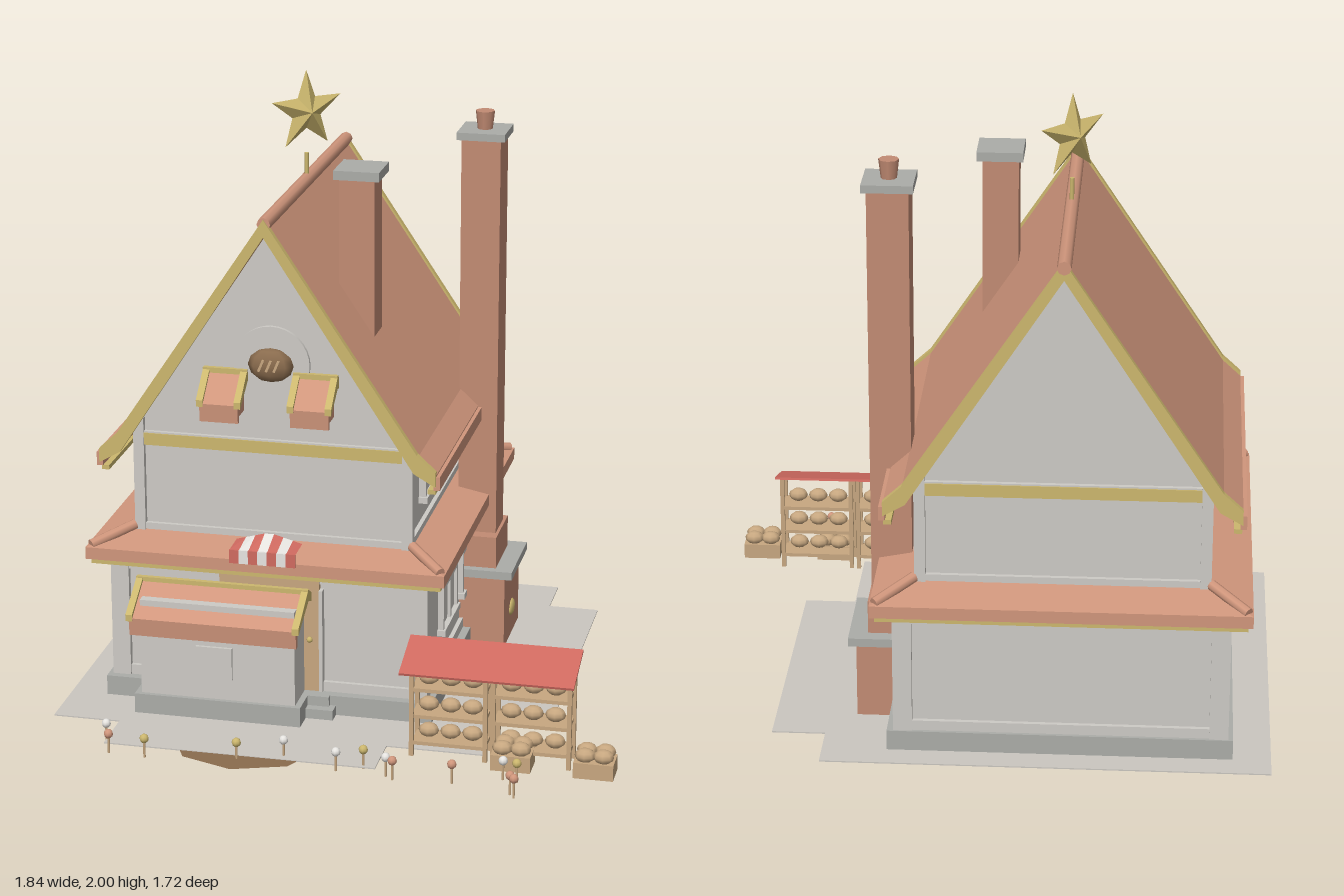
import * as THREE from 'three';

const CX = -0.26, CZ = -0.205; // middle of the house

export function createModel() {
  const root = new THREE.Group();
  root.name = 'bakeryHouse';
  const mat = (name, color) => {
    const m = new THREE.MeshStandardMaterial({ color, side: THREE.DoubleSide });
    m.name = name;
    return m;
  };
  const wall = mat('plaster', 0xcdcac5), stone = mat('stone', 0xabaca8), tile = mat('terracotta', 0xd0967c),
    brick = mat('brick', 0xc28b73), gold = mat('gold', 0xccb76e), red = mat('red', 0xd06a60),
    white = mat('white', 0xeeece8), tan = mat('tan', 0xc7a780), brown = mat('brown', 0x8a6c4e),
    ground = mat('paving', 0xcac6c0);

  const add = (name, geo, m, x = 0, y = 0, z = 0, parent = root) => {
    const mesh = new THREE.Mesh(geo, m);
    mesh.name = name;
    mesh.position.set(x, y, z);
    parent.add(mesh);
    return mesh;
  };
  // box given by its limits
  const box = (name, m, x0, x1, y0, y1, z0, z1, parent) =>
    add(name, new THREE.BoxGeometry(x1 - x0, y1 - y0, z1 - z0), m, (x0 + x1) / 2, (y0 + y1) / 2, (z0 + z1) / 2, parent);
  const faceted = (pos) => {
    const g = new THREE.BufferGeometry();
    g.setAttribute('position', new THREE.Float32BufferAttribute(pos, 3));
    g.computeVertexNormals();
    return g;
  };
  // shell through stacked rectangles [halfX, halfZ, y]
  const rectLoft = (rings) => {
    const pos = [];
    const corner = ([hx, hz, y], i) => [[-hx, y, hz], [hx, y, hz], [hx, y, -hz], [-hx, y, -hz]][i % 4];
    for (let r = 0; r < rings.length - 1; r++) for (let i = 0; i < 4; i++) {
      const a = corner(rings[r], i), b = corner(rings[r], i + 1);
      const c = corner(rings[r + 1], i + 1), d = corner(rings[r + 1], i);
      pos.push(...a, ...b, ...c, ...a, ...c, ...d);
    }
    return faceted(pos);
  };
  const prism = (pts, depth) => new THREE.ExtrudeGeometry(
    new THREE.Shape(pts.map(([x, y]) => new THREE.Vector2(x, y))), { depth, bevelEnabled: false });
  const ball = (r, sx, sy, sz) => new THREE.SphereGeometry(r, 8, 6).scale(sx, sy, sz);

  // paving and the shallow round patch at its front edge
  const paving = prism([[-0.92, 0.86], [-0.92, -0.58], [-0.7, -0.58], [-0.7, -0.75], [0.18, -0.75], [0.18, -0.58],
    [0.49, -0.58], [0.49, -0.26], [0.66, -0.26], [0.66, 0.68], [0.49, 0.68], [0.49, 0.86]], 0.004);
  paving.rotateX(-Math.PI / 2);
  add('paving', paving, ground, 0, 0.008, 0);
  add('roundPatch', new THREE.CylinderGeometry(0.24, 0.17, 0.008, 8).scale(1, 1, 0.84), brown, CX, 0.006, 0.65);

  // floors: wall core, corner posts and horizontal beams
  const storey = (name, hx, hz, y0, y1, postTop, w) => {
    const g = new THREE.Group();
    g.name = name;
    root.add(g);
    g.position.set(CX, 0, CZ);
    box('wallCore', wall, -hx + 0.02, hx - 0.02, y0, y1, -hz + 0.02, hz - 0.02, g);
    for (const sx of [-1, 1]) for (const sz of [-1, 1])
      add('cornerPost', new THREE.BoxGeometry(w, postTop - y0, w), wall, sx * (hx - w / 2), (postTop + y0) / 2, sz * (hz - w / 2), g);
    for (const y of [y0 + 0.018, y1 - 0.018]) for (const s of [-1, 1]) {
      add('beam', new THREE.BoxGeometry(2 * hx - 0.02, 0.036, 0.02), wall, 0, y, s * (hz - 0.016), g);
      add('beam', new THREE.BoxGeometry(0.02, 0.036, 2 * hz - 0.02), wall, s * (hx - 0.016), y, 0, g);
    }
  };
  box('foundation', stone, CX - 0.54, CX + 0.545, 0.01, 0.078, CZ - 0.57, CZ + 0.59);
  storey('groundFloor', 0.525, 0.565, 0.075, 0.485, 0.485, 0.06);
  storey('upperFloor', 0.46, 0.495, 0.55, 0.9, 0.945, 0.035);

  // skirt roof between the floors, with hip ridges
  add('skirtTrim', rectLoft([[0.48, 0.52, 0.478], [0.575, 0.61, 0.478], [0.575, 0.61, 0.5]]), gold, CX, 0, CZ);
  add('skirtRoof', rectLoft([[0.5, 0.54, 0.497], [0.59, 0.625, 0.497], [0.59, 0.625, 0.537], [0.44, 0.475, 0.567]]), tile, CX, 0, CZ);
  for (const sx of [-1, 1]) for (const sz of [-1, 1]) {
    const a = new THREE.Vector3(sx * 0.575, 0.542, sz * 0.61), b = new THREE.Vector3(sx * 0.46, 0.58, sz * 0.495);
    const hip = add('hipRidge', new THREE.CylinderGeometry(0.017, 0.017, a.distanceTo(b), 8), tile);
    hip.position.copy(a).add(b).multiplyScalar(0.5).add(new THREE.Vector3(CX, 0, CZ));
    hip.quaternion.setFromUnitVectors(new THREE.Vector3(0, 1, 0), b.sub(a).normalize());
  }

  // gables and main roof
  add('gableWalls', prism([[-0.44, 0.88], [0.44, 0.88], [0.44, 0.93], [0, 1.6], [-0.44, 0.93]], 0.95), wall, CX, 0, CZ - 0.475);
  const mirrored = (half) => [...half, ...half.slice().reverse().filter(([x]) => x !== 0).map(([x, y]) => [-x, y])];
  const chevron = (lift, t) => {
    const outer = [[0, 1.64 + lift], [0.49, 0.905 + lift], [0.55, 0.85 + lift]];
    const inner = [[0.55, 0.85 - t], [0.48, 0.89 - t], [0, 1.63 - t]];
    const right = [...outer, ...inner];
    return [...right, ...inner.slice(0, 2).reverse().map(([x, y]) => [-x, y]), ...outer.slice(1).reverse().map(([x, y]) => [-x, y])];
  };
  add('mainRoof', prism(chevron(0, 0.025), 1.13), tile, CX, 0, -0.765);
  for (const z of [-0.772, 0.35]) add('bargeboard', prism(chevron(0.012, 0.035), 0.022), gold, CX, 0, z);
  for (const s of [-1, 1]) {
    add('eaveFascia', new THREE.BoxGeometry(0.02, 0.045, 1.13), tile, CX + s * 0.552, 0.823, CZ);
    add('eaveTrim', new THREE.BoxGeometry(0.025, 0.015, 1.12), gold, CX + s * 0.535, 0.793, CZ);
    add('gableBeam', new THREE.BoxGeometry(0.86, 0.04, 0.02), gold, CX, 0.875, CZ + s * 0.483);
  }
  add('ridgeTile', new THREE.CylinderGeometry(0.022, 0.022, 1.14, 8).rotateX(Math.PI / 2), tile, CX, 1.635, CZ);

  // star on its pole
  add('starPole', new THREE.CylinderGeometry(0.007, 0.007, 0.08, 8), gold, CX, 1.685, CZ);
  const star = [], tip = (i) => {
    const r = i % 2 ? 0.056 : 0.137, a = Math.PI / 2 + i * Math.PI / 5;
    return [r * Math.cos(a), r * Math.sin(a), 0];
  };
  for (let i = 0; i < 10; i++) star.push(0, 0, 0.037, ...tip(i), ...tip(i + 1), 0, 0, -0.037, ...tip(i + 1), ...tip(i));
  add('star', faceted(star), gold, CX, 1.863, CZ).rotation.y = Math.PI / 4;

  // small chimney
  box('smallChimney', brick, -0.085, 0.03, 1.19, 1.72, -0.03, 0.085);
  box('smallChimneyCap', stone, -0.1, 0.048, 1.72, 1.75, -0.05, 0.1);
  // tall chimney with oven base
  box('ovenBase', brick, 0.2, 0.4, 0.01, 0.26, -0.55, -0.275);
  box('ovenLedge', stone, 0.2, 0.425, 0.262, 0.29, -0.565, -0.27);
  box('ovenShoulder', brick, 0.21, 0.365, 0.29, 0.4, -0.52, -0.3);
  box('tallChimney', brick, 0.225, 0.355, 0.4, 1.76, -0.48, -0.345);
  box('tallChimneyCap', stone, 0.21, 0.37, 1.76, 1.785, -0.495, -0.335);
  add('chimneyPot', new THREE.CylinderGeometry(0.032, 0.025, 0.06, 8), brick, 0.29, 1.815, -0.415);
  add('ovenDoor', ball(0.04, 0.3, 0.7, 1), gold, 0.4, 0.11, -0.412);

  // tiled awning with gold ends, hung from its top edge
  const awning = (name, w, x, y, z, depth) => {
    const g = new THREE.Group();
    g.name = name;
    g.position.set(x, y, z);
    root.add(g);
    const along = (pts, len) => prism(pts.map(([a, b]) => [a * depth, b]), len).rotateY(-Math.PI / 2).translate(len / 2, 0, 0);
    add('awningTiles', along([[-0.045, -0.03], [0, -0.006], [0.135, -0.09], [0.128, -0.15], [0.11, -0.15],
      [0.11, -0.1], [0, -0.03], [-0.045, -0.05]], w - 0.02), tile, 0, 0, 0, g);
    for (const s of [-1, 1])
      add('awningEnd', along([[-0.05, -0.025], [0, 0.004], [0.137, -0.078], [0.137, -0.1], [0, -0.035], [-0.05, -0.055]], 0.022),
        gold, s * (w / 2 - 0.011), 0, 0, g);
    box('awningTop', gold, -w / 2, w / 2, -0.015, 0.004, -0.008, 0.008, g);
  };

  // shop bay
  box('bay', wall, -0.65, -0.14, 0.07, 0.4, 0.33, 0.49);
  box('bayFoundation', stone, -0.67, -0.12, 0.01, 0.078, 0.33, 0.505);
  box('bayWindow', wall, -0.465, -0.345, 0.15, 0.26, 0.49, 0.5);
  awning('bayAwning', 0.57, -0.4, 0.442, 0.4, 1);

  // door, knob and steps
  box('door', tan, -0.42, -0.09, 0.08, 0.475, 0.34, 0.362);
  box('doorFrame', wall, -0.09, -0.078, 0.08, 0.43, 0.34, 0.368);
  add('doorKnob', ball(0.01, 1, 1, 1), gold, -0.12, 0.26, 0.368);
  box('lowerStep', stone, -0.14, -0.03, 0.01, 0.045, 0.36, 0.43);
  box('upperStep', stone, -0.14, -0.05, 0.045, 0.078, 0.36, 0.4);

  // striped canopy above the door
  for (let i = 0; i < 7; i++) {
    const x = CX + (i - 3) * 0.031, m = i % 2 ? white : red;
    const top = (u) => 0.603 - 0.03 * Math.abs(u) / 3.5;
    const x0 = x - 0.0155, x1 = x + 0.0155, a = top(i - 3.5), b = top(i - 2.5);
    add('canopyStripe', faceted([x0, 0.57, 0.42, x1, 0.57, 0.42, x1, b, 0.33, x0, 0.57, 0.42, x1, b, 0.33, x0, a, 0.33]), m);
    box('canopyValance', m, x0, x1, 0.527, 0.572, 0.42, 0.428);
  }

  // round gable ornament with loaf, flanked by little awnings
  add('gableRoundel', new THREE.CylinderGeometry(0.125, 0.125, 0.015, 32).rotateX(Math.PI / 2), wall, CX, 1.155, 0.275);
  add('gableLoaf', ball(0.075, 1, 0.75, 0.45), brown, CX, 1.155, 0.29);
  for (const s of [-1, 0, 1]) {
    add('loafScore', new THREE.BoxGeometry(0.008, 0.04, 0.008), tan, CX + s * 0.025, 1.16, 0.32).rotation.z = -0.4;
  }
  for (const x of [-0.41, -0.115]) {
    awning('littleAwning', 0.145, x, 1.13, 0.285, 0.7);
    box('littleBox', tile, x - 0.055, x + 0.055, 0.99, 1.05, 0.27, 0.36);
  }

  // windows on the chimney side
  const sideWindow = (x, y0, y1, z) => {
    const w = 0.24;
    box('windowPane', wall, x - 0.02, x + 0.002, y0, y1, z - w / 2, z + w / 2);
    for (const s of [-1, 0, 1]) add('windowUpright', new THREE.BoxGeometry(0.025, y1 - y0, 0.016), wall, x, (y0 + y1) / 2, z + s * (w / 2 - 0.008));
    add('windowCrossbar', new THREE.BoxGeometry(0.025, 0.014, w), wall, x, y0 + (y1 - y0) * 0.6, z);
    for (const y of [y0, y1]) add('windowSill', new THREE.BoxGeometry(0.04, 0.02, w + 0.02), wall, x, y, z);
  };
  for (const z of [-0.03, -0.36]) {
    sideWindow(0.252, 0.205, 0.46, z);
    sideWindow(0.19, 0.665, 0.905, z);
  }

  // market stall with shelves of loaves
  const loaf = (x, y, z, parent) => add('loaf', ball(0.033, 1, 0.7, 0.8), tan, x, y, z, parent);
  const roof = box('stallRoof', red, 0.24, 0.79, 0.33, 0.338, 0.495, 0.685);
  roof.rotation.x = Math.atan2(0.055, 0.18);
  for (const [x0, x1] of [[0.27, 0.505], [0.53, 0.77]]) {
    for (const x of [x0, x1]) for (const z of [0.535, 0.625])
      box('stallPost', tan, x - 0.007, x + 0.007, 0.01, z < 0.6 ? 0.35 : 0.32, z - 0.007, z + 0.007);
    for (const y of [0.055, 0.145, 0.235]) {
      box('shelf', tan, x0, x1, y - 0.006, y + 0.006, 0.53, 0.63);
      for (const i of [-1, 0, 1]) loaf((x0 + x1) / 2 + i * 0.07, y + 0.03, 0.585);
    }
  }
  // crates of loaves
  for (const x of [0.595, 0.855]) {
    box('crate', tan, x - 0.063, x + 0.063, 0.01, 0.062, 0.59, 0.682);
    for (const i of [-1, 1]) for (const j of [-1, 1]) loaf(x + i * 0.029, 0.08, 0.636 + j * 0.022);
  }

  // flowers along the paving
  const flowers = [[-0.7, 0.72, white], [-0.67, 0.795, tile], [-0.55, 0.805, gold], [CX, 0.77, gold], [-0.12, 0.72, white],
    [0.06, 0.77, white], [0.14, 0.735, gold], [0.22, 0.775, white], [0.245, 0.795, tile], [0.43, 0.78, tile],
    [0.58, 0.72, white], [0.625, 0.73, gold], [0.62, 0.82, tile], [0.635, 0.84, tile]];
  for (const [x, z, m] of flowers) {
    add('flowerStem', new THREE.CylinderGeometry(0.004, 0.004, 0.06, 6), tan, x, 0.03, z);
    add('flowerHead', ball(0.015, 1, 1, 1), m, x, 0.065, z);
  }
  return root;
}
